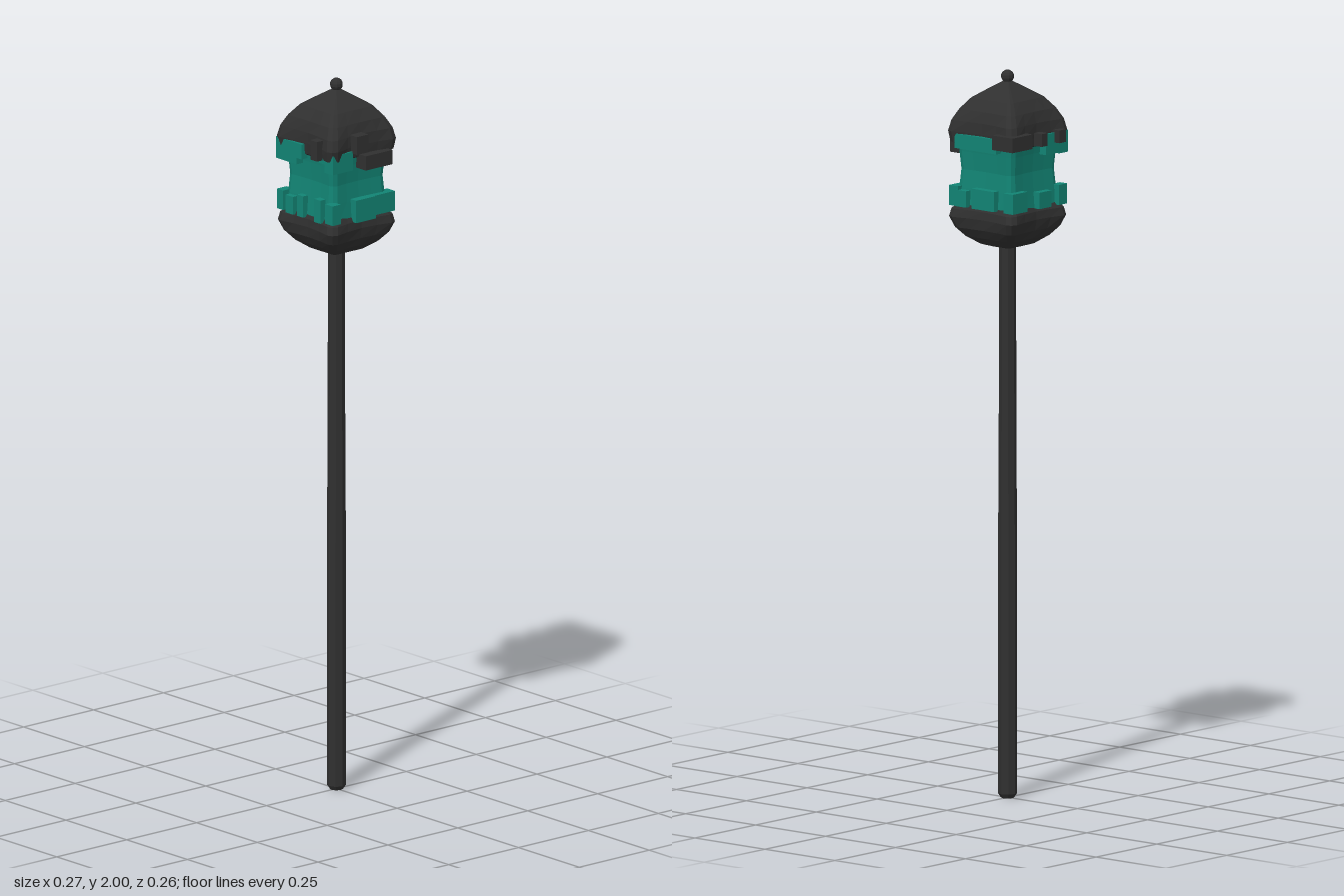
import * as THREE from 'three';

const dark = new THREE.MeshStandardMaterial({ color: 0x303030, flatShading: true });
const teal = new THREE.MeshStandardMaterial({ color: 0x128474, flatShading: true });

// Stacks square rings [y, halfWidth, inset]; inset pulls the middle of each side inwards.
function squareLoft(rings) {
  const pos = [], idx = [];
  const n = 24;
  for (const [y, s, inset] of rings) {
    const side = [[-0.82, 1], [-0.45, 1 - inset * 0.65], [0, 1 - inset], [0.45, 1 - inset * 0.65], [0.82, 1], [0.95, 0.95]];
    for (let k = 0; k < 4; k++) {
      const c = Math.round(Math.cos(k * Math.PI / 2)), d = Math.round(Math.sin(k * Math.PI / 2));
      for (const [a, b] of side) pos.push(s * (a * c + b * d), y, s * (b * c - a * d));
    }
  }
  for (let r = 0; r < rings.length - 1; r++) {
    for (let i = 0; i < n; i++) {
      const a = r * n + i, b = r * n + (i + 1) % n;
      idx.push(a, b, b + n, a, b + n, a + n);
    }
  }
  // end caps
  const last = (rings.length - 1) * n, base = pos.length / 3;
  pos.push(0, rings[0][0], 0, 0, rings[rings.length - 1][0], 0);
  for (let i = 0; i < n; i++) {
    const j = (i + 1) % n;
    idx.push(base, j, i, base + 1, last + i, last + j);
  }
  const g = new THREE.BufferGeometry();
  g.setAttribute('position', new THREE.Float32BufferAttribute(pos, 3));
  g.setIndex(idx);
  const flat = g.toNonIndexed();
  flat.computeVertexNormals();
  return flat;
}

export function createModel() {
  const group = new THREE.Group();
  const add = (name, geometry, material) => {
    const mesh = new THREE.Mesh(geometry, material);
    mesh.name = name;
    group.add(mesh);
    return mesh;
  };

  // Slim eight-sided pole with chamfered foot
  const pole = [[0, 0], [0.018, 0], [0.026, 0.012], [0.026, 0.7], [0.0245, 0.88], [0.0235, 1.2], [0.023, 1.53]];
  add('pole', new THREE.LatheGeometry(pole.map(p => new THREE.Vector2(...p)), 8), dark);

  // Lower cup, waisted lantern and domed cap
  add('lowerCup', squareLoft([
    [1.515, 0.03, 0], [1.523, 0.055, 0], [1.545, 0.085, 0.02], [1.57, 0.106, 0.07],
    [1.60, 0.118, 0.12], [1.622, 0.113, 0.1], [1.645, 0.092, 0.04]]), dark);
  add('lanternBody', squareLoft([
    [1.62, 0.1, 0.03], [1.68, 0.097, 0.05], [1.73, 0.093, 0.05], [1.78, 0.097, 0.05], [1.83, 0.102, 0.03]]), teal);
  add('cap', squareLoft([
    [1.80, 0.1, 0.03], [1.805, 0.115, 0.1], [1.835, 0.12, 0.13], [1.865, 0.113, 0.09], [1.895, 0.097, 0.03],
    [1.925, 0.073, 0], [1.945, 0.045, 0], [1.962, 0.02, 0], [1.97, 0.008, 0]]), dark);

  // Finial ball on a short stem
  add('finialStem', new THREE.CylinderGeometry(0.007, 0.01, 0.03, 8).translate(0, 1.965, 0), dark);
  add('finialBall', new THREE.SphereGeometry(0.018, 10, 7).translate(0, 1.982, 0), dark);

  // Blocks given by their limits: x, y, z
  const blocks = (name, material, list) => {
    for (const [x0, x1, y0, y1, z0, z1] of list) {
      add(name, new THREE.BoxGeometry(x1 - x0, y1 - y0, z1 - z0), material)
        .position.set((x0 + x1) / 2, (y0 + y1) / 2, (z0 + z1) / 2);
    }
  };
  blocks('capBlock', dark, [
    [-0.133, -0.06, 1.805, 1.845, -0.133, -0.05],
    [0.09, 0.133, 1.77, 1.81, -0.085, 0.01],
    [0.09, 0.133, 1.82, 1.87, 0.0, 0.042],
    [-0.133, -0.09, 1.805, 1.84, -0.012, 0.012],
    [-0.133, -0.09, 1.805, 1.84, 0.06, 0.088],
    [0.045, 0.072, 1.805, 1.86, 0.09, 0.132],
  ]);
  blocks('upperTrim', teal, [
    [-0.115, -0.03, 1.772, 1.832, 0.08, 0.116],
    [-0.03, -0.01, 1.79, 1.832, 0.08, 0.116],
    [0.03, 0.1, 1.795, 1.83, 0.08, 0.112],
    [-0.116, -0.08, 1.775, 1.832, 0.025, 0.115],
    [0.08, 0.114, 1.772, 1.825, 0.04, 0.112],
    [-0.06, 0.09, 1.79, 1.83, -0.116, -0.08],
  ]);
  blocks('lowerTrim', teal, [
    [-0.114, -0.088, 1.63, 1.685, 0.08, 0.114],
    [-0.08, -0.05, 1.625, 1.675, 0.08, 0.112],
    [-0.035, -0.01, 1.625, 1.685, 0.08, 0.11],
    [0.04, 0.065, 1.625, 1.69, 0.08, 0.114],
    [0.085, 0.116, 1.63, 1.685, 0.085, 0.114],
    [0.08, 0.116, 1.622, 1.685, -0.04, 0.03],
    [0.08, 0.112, 1.63, 1.685, -0.112, -0.04],
    [-0.114, -0.08, 1.63, 1.685, -0.11, -0.05],
    [-0.114, -0.08, 1.63, 1.675, 0.0, 0.05],
    [-0.05, 0.03, 1.63, 1.685, -0.114, -0.08],
    [0.05, 0.085, 1.63, 1.675, -0.114, -0.08],
  ]);
  return group;
}
